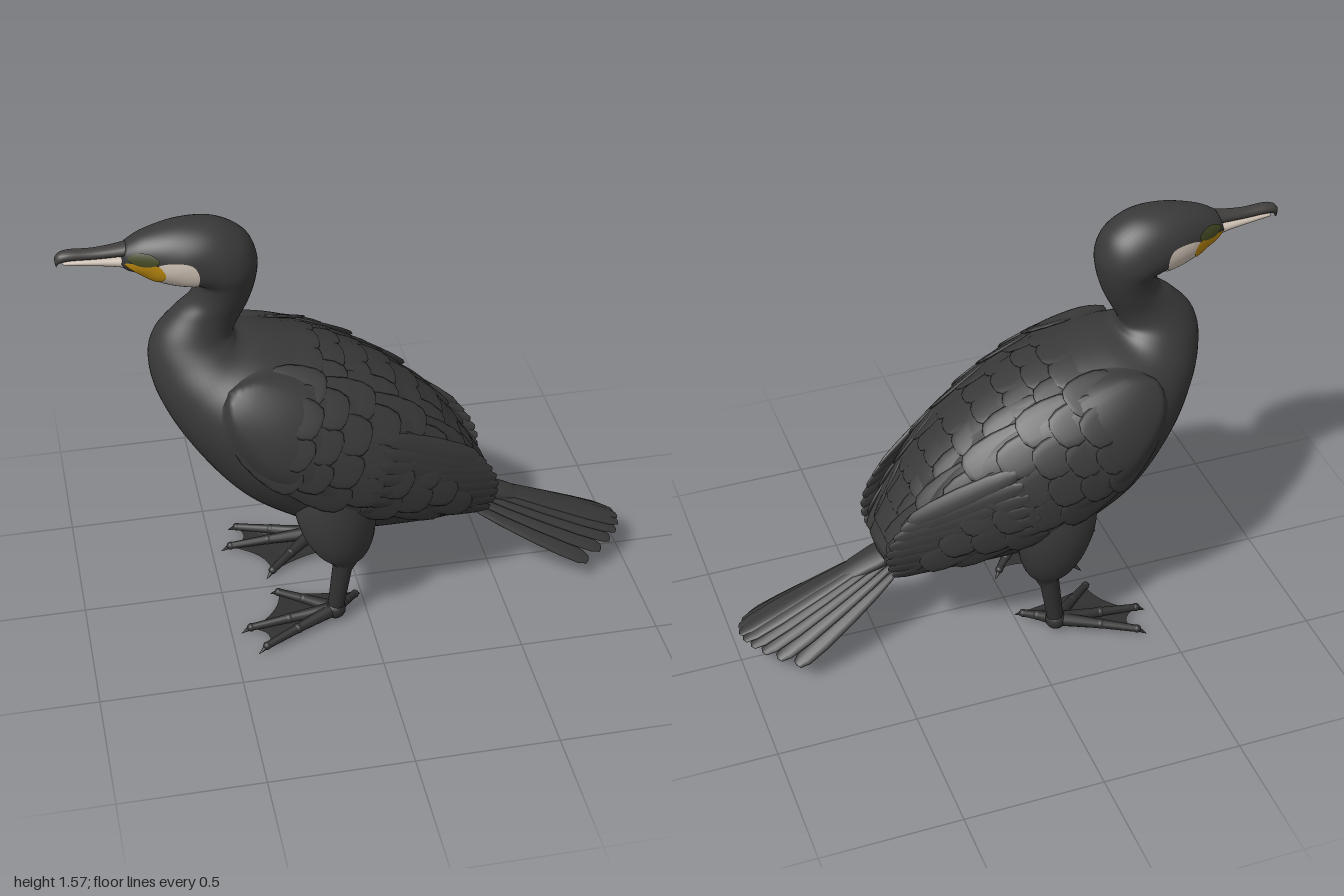
import * as THREE from 'three';
import { mergeGeometries, mergeVertices } from 'three/addons/utils/BufferGeometryUtils.js';

const V = (x, y, z) => new THREE.Vector3(x, y, z);

// Cross-sections from tail to brow: top x, top y, bottom x, bottom y, half width
const BODY = [
  [.50, .41, .45, .31, .08], [.42, .56, .30, .285, .17], [.30, .75, .10, .29, .245],
  [.13, .91, -.10, .32, .305], [-.05, 1.02, -.28, .41, .335], [-.20, 1.08, -.45, .54, .335],
  [-.32, 1.11, -.60, .74, .285], [-.40, 1.12, -.69, .92, .205], [-.42, 1.14, -.715, 1.06, .145],
  [-.42, 1.16, -.69, 1.16, .11], [-.40, 1.20, -.62, 1.24, .092], [-.365, 1.27, -.565, 1.285, .097],
  [-.34, 1.35, -.545, 1.345, .113], [-.335, 1.43, -.57, 1.36, .127], [-.37, 1.51, -.63, 1.365, .13],
  [-.46, 1.565, -.69, 1.385, .12], [-.58, 1.575, -.73, 1.405, .095], [-.70, 1.55, -.77, 1.42, .066],
  [-.77, 1.515, -.79, 1.44, .042],
];
const UPPER_BILL = [
  [-.70, 1.53, -.70, 1.47, .05], [-.78, 1.512, -.78, 1.47, .035], [-.87, 1.503, -.87, 1.468, .026],
  [-.95, 1.506, -.95, 1.470, .025], [-.985, 1.498, -.985, 1.462, .02], [-1, 1.48, -.994, 1.445, .008],
];
const LOWER_BILL = [
  [-.70, 1.475, -.70, 1.41, .045], [-.80, 1.472, -.80, 1.433, .031],
  [-.90, 1.471, -.90, 1.447, .021], [-.975, 1.469, -.975, 1.454, .013],
];

// Smoothly interpolated cross-section at station u
function section(st, u) {
  const i = Math.min(Math.floor(u), st.length - 2), t = u - i;
  const at = k => st[Math.max(0, Math.min(st.length - 1, k))];
  return st[0].map((_, c) => {
    const [a, b, d, e] = [at(i - 1)[c], at(i)[c], at(i + 1)[c], at(i + 2)[c]];
    return b + .5 * t * (d - a + t * (2 * a - 5 * b + 4 * d - e + t * (3 * (b - d) + e - a)));
  });
}
// Point on a lofted skin: angle 0 is the top, positive angles are on +z
function skin(st, u, a, k = 1) {
  const [tx, ty, bx, by, w] = section(st, u), c = k * Math.cos(a) / 2;
  return V((tx + bx) / 2 + (tx - bx) * c, (ty + by) / 2 + (ty - by) * c, k * w * Math.sin(a));
}
function normalAt(u, a) {
  const du = skin(BODY, u + .05, a).sub(skin(BODY, u - .05, a));
  const da = skin(BODY, u, a + .05).sub(skin(BODY, u, a - .05));
  return du.cross(da).normalize();
}
// Surface from a rule fn(s, t) with s and t from 0 to 1
function grid(fn, n, m, flip = false) {
  const pos = [], idx = [];
  for (let i = 0; i <= n; i++) for (let j = 0; j <= m; j++) pos.push(...fn(i / n, j / m).toArray());
  for (let i = 0; i < n; i++) for (let j = 0; j < m; j++) {
    const a = i * (m + 1) + j, b = a + m + 1;
    if (flip) idx.push(a, a + 1, b, b, a + 1, b + 1);
    else idx.push(a, b, a + 1, b, b + 1, a + 1);
  }
  const g = new THREE.BufferGeometry();
  g.setAttribute('position', new THREE.Float32BufferAttribute(pos, 3));
  g.setIndex(idx);
  const out = mergeVertices(g, 1e-5);
  out.computeVertexNormals();
  return out;
}
// Closed loft with pinched ends
const loft = (st, n, m) => grid((s, t) =>
  skin(st, s * (st.length - 1), t * Math.PI * 2, s === 0 || s === 1 ? 0 : 1), n, m);

// Flat blunt feather from base to tip, widest toward the tip
function feather(base, tip, normal, width, thick, flare = .25) {
  const g = new THREE.SphereGeometry(1, 12, 8).rotateZ(Math.PI / 2);
  const p = g.attributes.position;
  for (let i = 0; i < p.count; i++) {
    const x = p.getX(i);
    p.setZ(i, p.getZ(i) * (1 + flare * x));
    p.setX(i, x * (1.4 - .4 * x * x));
  }
  const x = tip.clone().sub(base), len = x.length() / 2;
  x.normalize();
  const z = x.clone().cross(normal).normalize(), y = z.clone().cross(x);
  const m = new THREE.Matrix4().makeBasis(x, y, z).setPosition(base.clone().add(tip).multiplyScalar(.5));
  return g.scale(len, thick, width).applyMatrix4(m);
}
// Tapered rod between two points
function limb(a, b, r1, r2) {
  const d = b.clone().sub(a);
  const q = new THREE.Quaternion().setFromUnitVectors(V(0, 1, 0), d.clone().normalize());
  return new THREE.CylinderGeometry(r2, r1, d.length(), 12).translate(0, d.length() / 2, 0)
    .applyQuaternion(q).translate(a.x, a.y, a.z);
}
const ball = (c, r) => new THREE.SphereGeometry(r, 14, 10).translate(c.x, c.y, c.z);

// Wing cover: a softly raised patch of the body skin
const wingHalf = u => .85 * Math.sqrt(Math.max(0, 1 - Math.abs((u - 3.4) / 3.25) ** 3));
function wingLift(u, a) {
  const h = wingHalf(u);
  if (h <= 0) return 0;
  const e = Math.max(0, 1 - Math.abs((Math.abs(a) - 1.22) / h)) * Math.min(1, h / .6);
  return .028 * THREE.MathUtils.smoothstep(e, 0, .5);
}
const raised = (u, a, extra = 0) =>
  skin(BODY, u, a).addScaledVector(normalAt(u, a), wingLift(u, a) + extra);

// Point on the cheek at side position (x, y), slightly proud of the head
function onHead(x, y, s, k) {
  const side = u => {
    const [tx, ty, bx, by] = section(BODY, u);
    return (tx - bx) * (y - by) - (ty - by) * (x - bx);
  };
  let lo = 12.5, hi = 18;
  const sign = Math.sign(side(lo));
  for (let i = 0; i < 30; i++) {
    const mid = (lo + hi) / 2;
    if (Math.sign(side(mid)) === sign) lo = mid; else hi = mid;
  }
  const [tx, ty, bx, by, w] = section(BODY, lo);
  const f = ((x - bx) * (tx - bx) + (y - by) * (ty - by)) / ((tx - bx) ** 2 + (ty - by) ** 2);
  const c = (2 * f - 1) / k;
  return V(x, y, s * k * w * Math.sqrt(Math.max(0, 1 - c * c)));
}
// Thin painted patch from a smooth outline
function decal(outline, s, k) {
  const curve = new THREE.CatmullRomCurve3(outline.map(([x, y]) => V(x, y, 0)), true, 'centripetal');
  const c = outline.reduce((t, [x, y]) => t.add(V(x, y, 0)), V(0, 0, 0)).divideScalar(outline.length);
  return grid((r, t) => {
    const p = c.clone().lerp(curve.getPoint(t % 1), r);
    return onHead(p.x, p.y, s, k);
  }, 8, 36, s < 0);
}

export function createModel() {
  const root = new THREE.Group();
  const material = (name, color, side = THREE.FrontSide) => {
    const m = new THREE.MeshStandardMaterial({ color, side });
    m.name = name;
    return m;
  };
  const plumage = material('charcoal plumage', 0x393939);
  const skinDark = material('dark foot skin', 0x303030, THREE.DoubleSide);
  const horn = material('grey bill horn', 0x413f3d);
  const pale = material('pale cheek', 0xcabdb0, THREE.DoubleSide);
  const yellow = material('yellow gape', 0xb8860f, THREE.DoubleSide);
  const green = material('olive eye skin', 0x424722, THREE.DoubleSide);
  const add = (name, geo, mat) => {
    const mesh = new THREE.Mesh(geo, mat);
    mesh.name = name;
    root.add(mesh);
  };

  add('body', loft(BODY, 120, 48), plumage);
  add('upperBill', loft(UPPER_BILL, 30, 20), horn);
  add('lowerBill', loft(LOWER_BILL, 20, 20), pale);

  // Long overlapping back and wing coverts
  const coverts = [];
  for (let row = 0; row < 9; row++) {
    const u = 5.1 - row * .5;
    for (let k = -5; k <= 5; k++) {
      const a = (k + (row % 2) * .5) * .35;
      if (Math.abs(a) > 1.9) continue;
      const base = raised(u + .7, a, -.012), tip = raised(Math.max(u - .6, .05), a, .003);
      coverts.push(feather(base, tip, normalAt(u, a), .02 + .15 * section(BODY, u)[4], .009));
    }
  }
  add('covertFeathers', mergeGeometries(coverts), plumage);

  // Tail fan, sloping down toward the outer feathers
  const tail = [];
  for (let i = -5; i <= 5; i++) {
    const t = i / 5, q = t * t;
    tail.push(feather(V(.42, .385 - .09 * q, .05 * t), V(1 - .16 * q, .128 - .05 * q, .175 * t),
      V(.4, 1, .5 * t), .034, .012, .5));
  }
  tail.push(feather(V(.34, .40, 0), V(.64, .275, 0), V(.4, 1, 0), .06, .03, -.2));
  add('tailFeathers', mergeGeometries(tail), plumage);

  for (const s of [1, -1]) {
    const label = s > 0 ? 'left' : 'right';
    // Folded wing with long flight feathers
    add(label + 'Wing', grid((p, q) => {
      const u = .15 + 6.5 * p;
      return raised(u, s * (1.22 + (2 * q - 1) * wingHalf(u)));
    }, 50, 24, s < 0), plumage);
    const flight = [];
    for (let k = 0; k < 8; k++) {
      const t = k / 7, a = s * (1.0 + t * .95);
      const tip = V(.41 + .08 * Math.sin(t * 2.4), .60 - .25 * t, s * (.17 - .035 * t));
      flight.push(feather(raised(3.2, a, .003), tip, normalAt(1.6, a), .042, .014, 0));
    }
    add(label + 'FlightFeathers', mergeGeometries(flight), plumage);

    // Feathered thigh
    const profile = [[.03, .23], [.05, .265], [.09, .31], [.125, .39], [.14, .50], [.12, .62], [.06, .71], [0, .74]];
    const curve = new THREE.SplineCurve(profile.map(([r, y]) => new THREE.Vector2(r, y)));
    const thigh = new THREE.LatheGeometry(curve.getPoints(24).map(p => p.setX(Math.max(0, p.x))), 28);
    const tp = thigh.attributes.position;
    for (let i = 0; i < tp.count; i++) tp.setX(i, tp.getX(i) - .085 - .14 * Math.max(0, tp.getY(i) - .25));
    add(label + 'Thigh', thigh.scale(1, 1, .8).translate(0, 0, s * .225), plumage);

    // Shank, four toes and claws
    const ankle = V(-.12, .05, s * .225);
    const tips = [[-.39, .35], [-.43, .24], [-.30, .065], [-.03, .13]].map(([x, z]) => V(x, .024, s * z));
    const foot = [limb(V(-.085, .30, s * .225), ankle, .038, .03), ball(ankle, .038)];
    for (const tip of tips) {
      const dir = tip.clone().sub(ankle).normalize(), mid = ankle.clone().lerp(tip, .55).add(V(0, .002, 0));
      const claw = tip.clone().addScaledVector(dir, .035).setY(.003);
      foot.push(limb(ankle, mid, .026, .017), ball(mid, .019), limb(mid, tip, .017, .013),
        ball(tip, .015), limb(tip, claw, .011, .001));
    }
    add(label + 'Foot', mergeGeometries(foot), skinDark);

    // Scalloped web between the toes
    const web = new THREE.Shape();
    web.moveTo(ankle.x, ankle.z);
    tips.forEach((tip, i) => {
      if (i === 0) return web.lineTo(tip.x, tip.z);
      const c = tip.clone().add(tips[i - 1]).multiplyScalar(.5).lerp(ankle, .25);
      web.quadraticCurveTo(c.x, c.z, tip.x, tip.z);
    });
    const wg = new THREE.ShapeGeometry(web, 8).rotateX(Math.PI / 2), wp = wg.attributes.position;
    for (let i = 0; i < wp.count; i++)
      wp.setY(i, .018 + .03 * Math.max(0, 1 - Math.hypot(wp.getX(i) - ankle.x, wp.getZ(i) - ankle.z) / .25));
    wg.computeVertexNormals();
    add(label + 'Web', wg, skinDark);

    // Face markings
    add(label + 'Cheek', decal([[-.675, 1.462], [-.64, 1.478], [-.56, 1.472], [-.54, 1.43], [-.56, 1.362],
      [-.61, 1.366], [-.68, 1.392], [-.65, 1.425]], s, 1.04), pale);
    add(label + 'Gape', decal([[-.775, 1.462], [-.72, 1.47], [-.67, 1.468], [-.648, 1.43], [-.675, 1.396],
      [-.715, 1.412], [-.75, 1.438]], s, 1.06), yellow);
    add(label + 'EyeSkin', decal([[-.765, 1.482], [-.74, 1.503], [-.69, 1.505], [-.665, 1.485],
      [-.685, 1.468], [-.735, 1.464]], s, 1.08), green);
  }
  return root;
}
